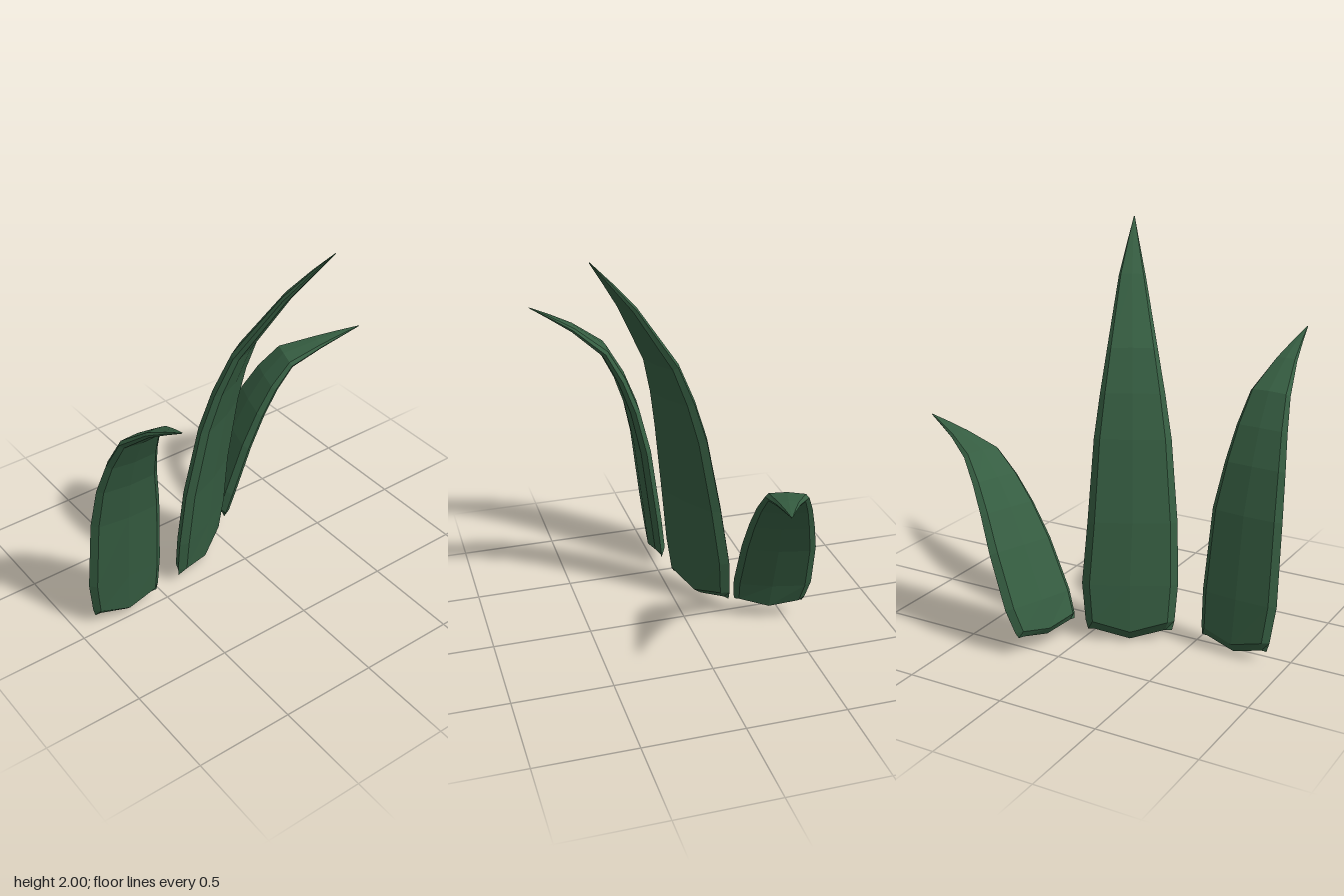
import * as THREE from 'three';

// Half of a blade's cross-section, rim to rim: [across, through];
// the other face is the same turned half way round
const HALF = [[1, 0], [0.84, 0.8], [0, 1.1], [-0.84, 0.8]];
const SECTION = [...HALF, ...HALF.map(([u, v]) => [-u, -v])];

// Shared outline of every leaf: [position along the spine points, relative width]
const TAPER = [[0, 0.88], [0.2, 0.93], [1, 1], [2, 0.93], [3, 0.8], [3.5, 0.67], [4, 0.525], [5, 0.28], [5.55, 0.13], [6, 0.01]];

// Loft the section along a curved spine, with flat facets
function leafGeometry(spine, halfWidth, acrossX, acrossZ, dip) {
  const curve = new THREE.CatmullRomCurve3(spine.map((p) => new THREE.Vector3(...p)));
  const side = new THREE.Vector3(acrossX, 0, acrossZ).normalize();
  const centres = TAPER.map(([t]) => curve.getPoint(t / (spine.length - 1)));
  const last = TAPER.length - 1;
  const positions = [];
  const index = [];
  TAPER.forEach(([, taper], i) => {
    const along = centres[Math.min(i + 1, last)].clone().sub(centres[Math.max(i - 1, 0)]);
    const through = along.cross(side).normalize();
    const width = halfWidth * taper;
    const thick = i === 0 ? 0 : halfWidth * 0.18 * taper ** 0.7; // foot closes to an edge
    for (const [u, v] of SECTION) {
      const p = centres[i].clone().addScaledVector(side, u * width).addScaledVector(through, v * thick);
      if (i < 2 && u === 0) p.y -= dip; // pointed foot
      positions.push(p.x, p.y, p.z);
    }
  });
  const n = SECTION.length;
  for (let i = 0; i < last; i++) {
    for (let j = 0; j < n; j++) {
      const a = i * n + j;
      const b = i * n + ((j + 1) % n);
      index.push(a, b, b + n, a, b + n, a + n);
    }
  }
  const indexed = new THREE.BufferGeometry();
  indexed.setAttribute('position', new THREE.Float32BufferAttribute(positions, 3));
  indexed.setIndex(index);
  const geometry = indexed.toNonIndexed();
  geometry.computeVertexNormals();
  return geometry;
}

export function createModel() {
  const model = new THREE.Group();
  model.name = 'leaves';
  const green = new THREE.MeshStandardMaterial({ color: 0x365e42 });
  green.name = 'leaf green';

  const addLeaf = (name, ...shape) => {
    const mesh = new THREE.Mesh(leafGeometry(...shape), green);
    mesh.name = name;
    model.add(mesh);
  };

  // Each spine runs from foot to tip
  addLeaf('frontLeaf', [
    [-0.045, 0.06, 0.72], [-0.02, 0.29, 0.73], [0.03, 0.7, 0.735], [0.08, 0.93, 0.745],
    [0.225, 1.255, 0.75], [0.385, 1.385, 0.76], [0.605, 1.51, 0.775],
  ], 0.2, -0.065, 0.998, 0.045);
  addLeaf('tallLeaf', [
    [-0.155, 0.055, 0.205], [-0.13, 0.29, 0.19], [-0.09, 0.6, 0.18], [-0.025, 1, 0.143],
    [0.095, 1.415, 0.073], [0.282, 1.74, -0.033], [0.477, 2, -0.13],
  ], 0.237, 0.465, 0.885, 0.05);
  addLeaf('backLeaf', [
    [-0.425, 0.1, -0.11], [-0.427, 0.24, -0.16], [-0.415, 0.5, -0.265], [-0.395, 0.67, -0.35],
    [-0.345, 0.91, -0.53], [-0.285, 0.965, -0.7], [-0.215, 1.02, -0.925],
  ], 0.198, 0.944, 0.33, 0.03);
  return model;
}
